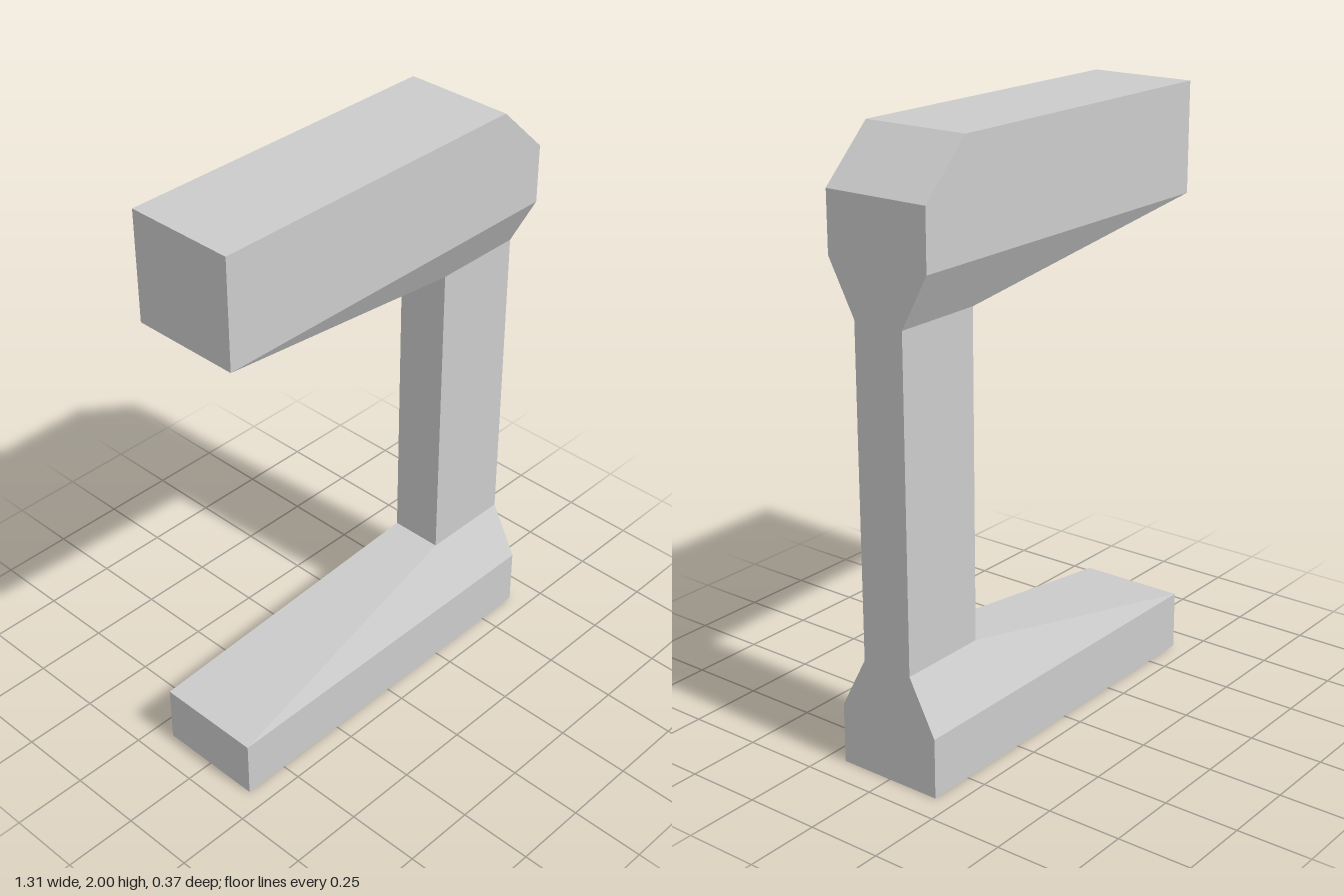
import * as THREE from 'three';
import { ConvexGeometry } from 'three/addons/geometries/ConvexGeometry.js';

const END = 0.655;     // half length of the arms
const WIDE = 0.184;    // half depth of the arms
const THIN = 0.09;     // half depth of the column
const INNER = 0.34;    // inner face of the column
const LOW = 0.38;      // column bottom
const HIGH = 1.46;     // column top

export function createModel() {
  const group = new THREE.Group();
  const material = new THREE.MeshStandardMaterial({ color: 0xcccccc, flatShading: true });

  const add = (name, geometry) => {
    const mesh = new THREE.Mesh(geometry, material);
    mesh.name = name;
    group.add(mesh);
    return mesh;
  };

  // Solid arm from [x, y, half depth] corners, mirrored front to back
  const arm = (name, corners) => add(name, new ConvexGeometry(
    corners.flatMap(([x, y, z]) => [new THREE.Vector3(x, y, z), new THREE.Vector3(x, y, -z)])
  ));

  // Bottom arm: slab with a sloped top narrowing into the column
  arm('lowerArm', [
    [-END, 0, WIDE], [END, 0, WIDE],
    [-END, 0.2, WIDE], [END, 0.2, WIDE],
    [INNER, LOW, THIN], [END, LOW, THIN],
  ]);

  // Top arm: thicker, with a bevelled outer corner and a sloped underside
  arm('upperArm', [
    [-END, 2, WIDE], [0.48, 2, WIDE], [END, 1.83, WIDE],
    [-END, 1.635, WIDE], [END, 1.635, WIDE],
    [INNER, HIGH, THIN], [END, HIGH, THIN],
  ]);

  // Upright joining the arms
  add('column', new THREE.BoxGeometry(END - INNER, HIGH - LOW, 2 * THIN))
    .position.set((END + INNER) / 2, (HIGH + LOW) / 2, 0);

  return group;
}
